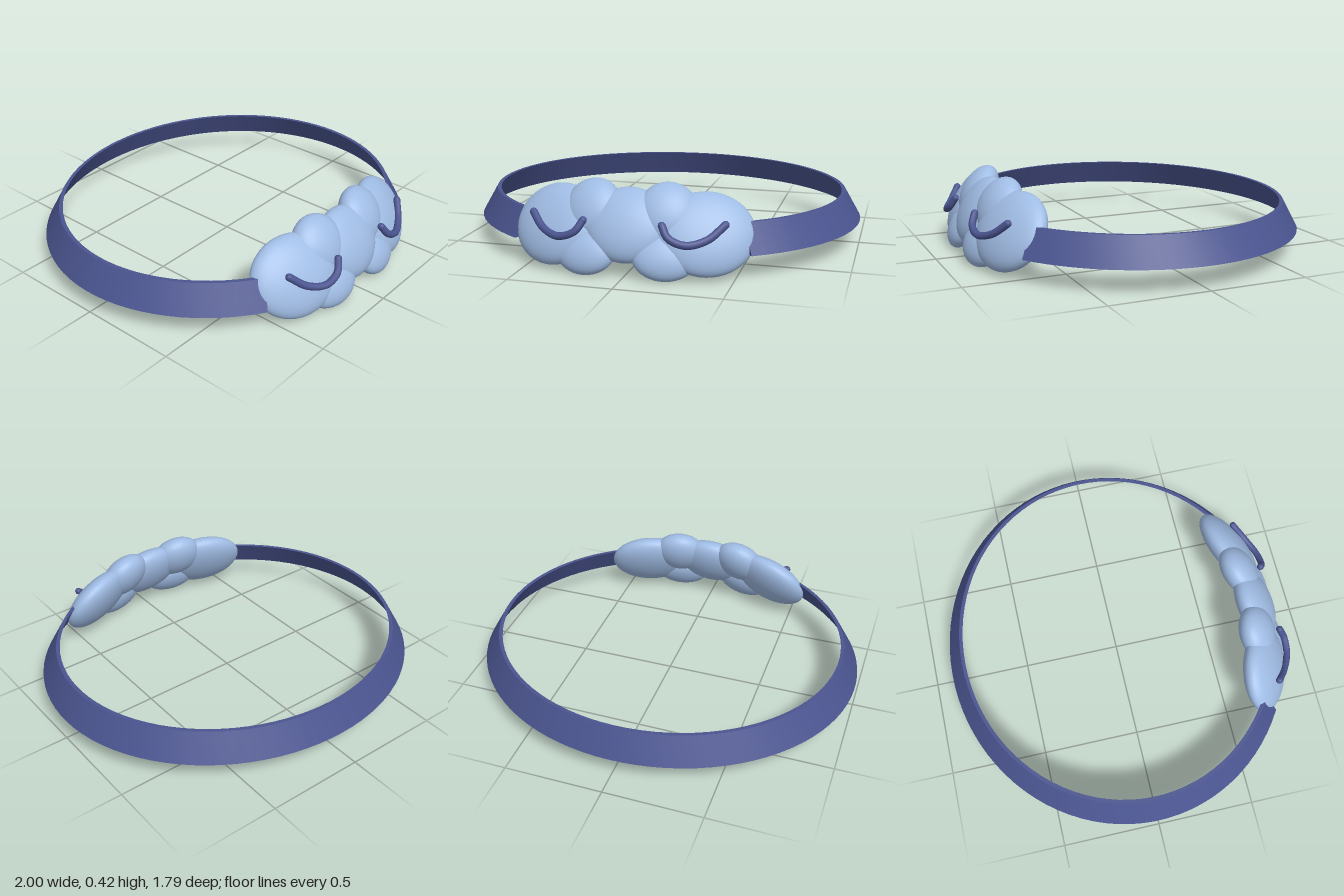
import * as THREE from 'three';
import { toCreasedNormals } from 'three/addons/utils/BufferGeometryUtils.js';

export function createModel() {
  const model = new THREE.Group();
  model.name = 'cloudSleepMask';
  const navy = new THREE.MeshStandardMaterial({ color: 0x4b5590, side: THREE.DoubleSide });
  navy.name = 'navy';
  const sky = new THREE.MeshStandardMaterial({ color: 0xa0bce4 });
  sky.name = 'skyBlue';

  function add(parent, name, geometry, material) {
    const mesh = new THREE.Mesh(geometry, material);
    mesh.name = name;
    parent.add(mesh);
    return mesh;
  }

  // Tapered head strap: an open oval band whose ends sink into the cloud
  const strap = new THREE.Group();
  strap.name = 'strap';
  strap.scale.z = 0.9;
  model.add(strap);
  const profile = [[1, 0.117], [0.92, 0.255], [0.9, 0.255], [0.98, 0.117], [1, 0.117]]
    .map(([r, y]) => new THREE.Vector2(r, y));
  const start = 0.61;
  const band = new THREE.LatheGeometry(profile, 72, start, Math.PI * 2 - start * 2);
  add(strap, 'band', toCreasedNormals(band, 0.6), navy);
  for (const angle of [start, -start]) {
    const cap = add(strap, 'bandEnd', new THREE.ShapeGeometry(new THREE.Shape(profile.slice(0, 4))), navy);
    cap.rotation.y = angle - Math.PI / 2;
  }

  // Cloud pad: flattened puffs leaning back and turned to follow the face
  const cloud = new THREE.Group();
  cloud.name = 'cloudPad';
  model.add(cloud);
  function puff(name, position, radii, yaw) {
    const mesh = add(cloud, name, new THREE.SphereGeometry(1, 40, 28), sky);
    mesh.position.set(...position);
    mesh.scale.set(...radii);
    mesh.rotation.set(-0.52, yaw, 0, 'YXZ');
  }
  puff('centrePuff', [0, 0.23, 0.765], [0.2, 0.18, 0.085], 0);

  for (const side of [1, -1]) {
    const label = side > 0 ? 'left' : 'right';
    puff(label + 'OuterPuff', [side * 0.36, 0.2, 0.72], [0.23, 0.2, 0.085], side * 0.35);
    puff(label + 'UpperPuff', [side * 0.18, 0.285, 0.72], [0.145, 0.148, 0.085], side * 0.2);
    puff(label + 'LowerPuff', [side * 0.19, 0.11, 0.805], [0.155, 0.12, 0.07], side * 0.2);

    // Closed eye: a rounded cord lying on the puffs
    const points = [
      [0.185, 0.26, 0.845], [0.22, 0.21, 0.868], [0.3, 0.182, 0.865],
      [0.39, 0.203, 0.82], [0.458, 0.262, 0.765],
    ].map(([x, y, z]) => new THREE.Vector3(side * x, y, z));
    const eye = new THREE.Group();
    eye.name = label + 'ClosedEye';
    cloud.add(eye);
    const curve = new THREE.CatmullRomCurve3(points);
    add(eye, 'eyeCord', new THREE.TubeGeometry(curve, 32, 0.018, 10), navy);
    for (const end of [points[0], points[4]]) {
      add(eye, 'eyeCordTip', new THREE.SphereGeometry(0.018, 12, 8), navy).position.copy(end);
    }
  }
  return model;
}
